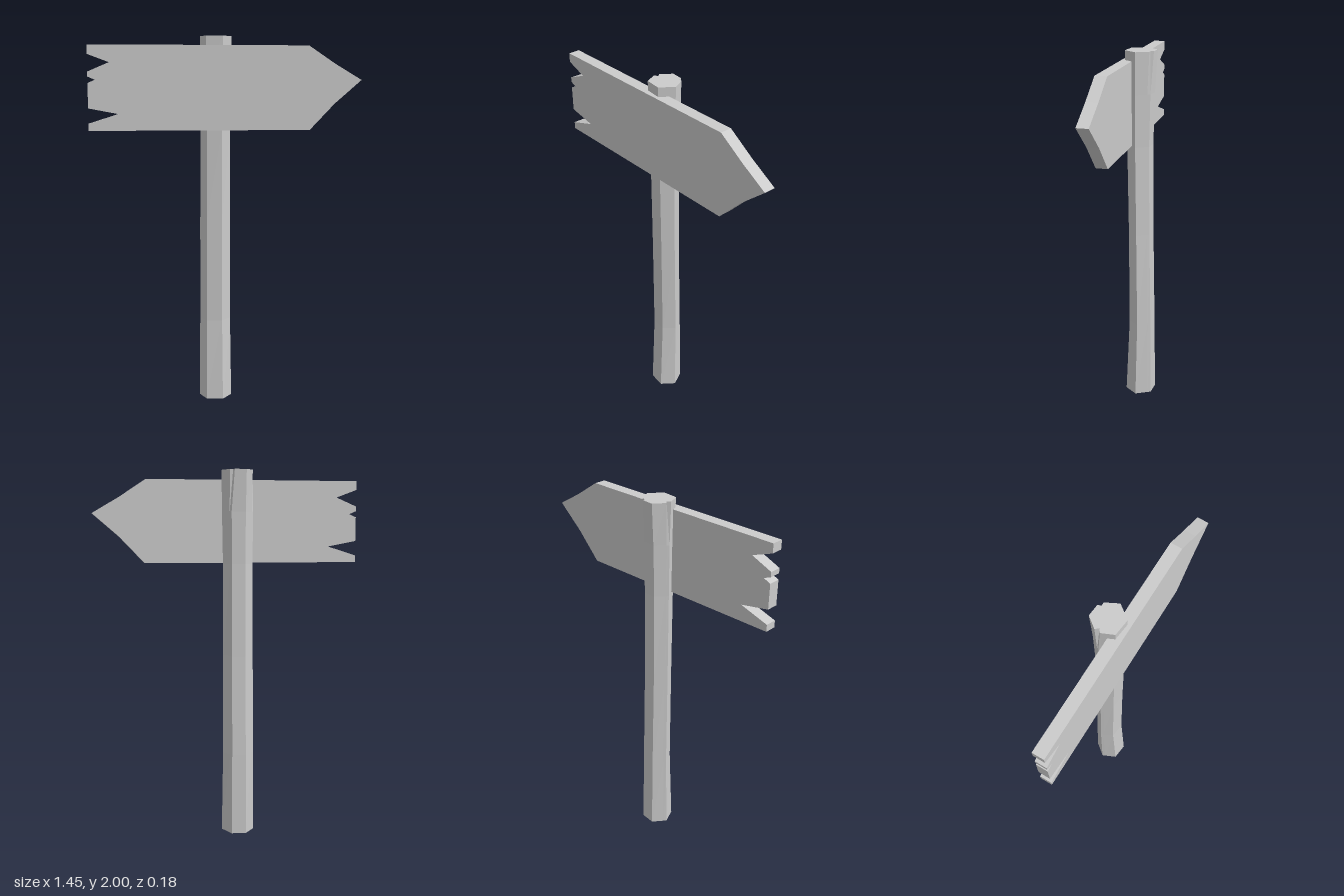
import * as THREE from 'three';

const material = new THREE.MeshStandardMaterial({ color: 0xcccccc, flatShading: true });

// Six-sided post: corners (x, z), clockwise seen from above
const corners = [[-0.145, -0.02], [-0.09, -0.09], [-0.01, -0.083], [0.033, 0], [-0.02, 0.07], [-0.11, 0.06]];
const center = [-0.055, -0.008];
const chipped = { 0: 0.3, 2: 0.22 }; // corners split at the top, with chip depth

// Post rings: y, front z, back z, left x, right x
const rings = [
  [0, 0.072, -0.086, -0.145, 0.033],
  [0.45, 0.052, -0.08, -0.14, 0.027],
  [1.0, 0.055, -0.07, -0.138, 0.025],
  [1.5, 0.062, -0.066, -0.135, 0.025],
  [1.78, 0.067, -0.073, -0.138, 0.03],
  [2.0, 0.072, -0.086, -0.142, 0.033],
];

const mix = (a, b, t) => [a[0] + (b[0] - a[0]) * t, a[1] + (b[1] - a[1]) * t];

// Outline with chipped corners split in three; the middle point sinks in at the top
function outline(isTop) {
  return corners.flatMap((c, i) => {
    if (!(i in chipped)) return [c];
    const prev = corners[(i + 5) % 6], next = corners[(i + 1) % 6];
    return [mix(c, prev, 0.2), isTop ? mix(c, center, chipped[i]) : c, mix(c, next, 0.2)];
  });
}

function postGeometry() {
  const levels = rings.map(([y, front, back, left, right], k) =>
    outline(k === rings.length - 1).map(([x, z]) => [
      THREE.MathUtils.mapLinear(x, -0.145, 0.033, left, right), y,
      THREE.MathUtils.mapLinear(z, -0.09, 0.07, back, front),
    ]));
  const pos = [];
  const tri = (...points) => points.forEach((p) => pos.push(...p));
  const n = levels[0].length, top = levels[levels.length - 1];
  for (let i = 0; i < n; i++) {
    const j = (i + 1) % n;
    for (let k = 0; k < levels.length - 1; k++) {
      const lo = levels[k], hi = levels[k + 1];
      tri(lo[i], hi[i], lo[j]);
      tri(hi[i], hi[j], lo[j]);
    }
    tri([center[0], 0, center[1]], levels[0][i], levels[0][j]);
    tri([center[0], 2, center[1]], top[j], top[i]);
  }
  const geometry = new THREE.BufferGeometry();
  geometry.setAttribute('position', new THREE.Float32BufferAttribute(pos, 3));
  geometry.computeVertexNormals();
  return geometry;
}

// Arrow board with splintered tail
function boardGeometry() {
  const points = [
    [-0.728, 1.95], [-0.728, 1.902], [-0.615, 1.86], [-0.728, 1.812],
    [-0.728, 1.786], [-0.69, 1.77], [-0.728, 1.753], [-0.728, 1.622],
    [-0.57, 1.592], [-0.728, 1.542], [-0.728, 1.505], [0.447, 1.505],
    [0.58, 1.645], [0.724, 1.77], [0.58, 1.855], [0.437, 1.95],
  ].map(([x, y]) => new THREE.Vector2(x, y));
  return new THREE.ExtrudeGeometry(new THREE.Shape(points), { depth: 0.062, bevelEnabled: false })
    .translate(0, 0, 0.028);
}

export function createModel() {
  const group = new THREE.Group();
  group.name = 'signpost';
  const add = (name, geometry) => {
    const mesh = new THREE.Mesh(geometry, material);
    mesh.name = name;
    group.add(mesh);
  };
  add('post', postGeometry());
  add('arrowBoard', boardGeometry());
  return group;
}
